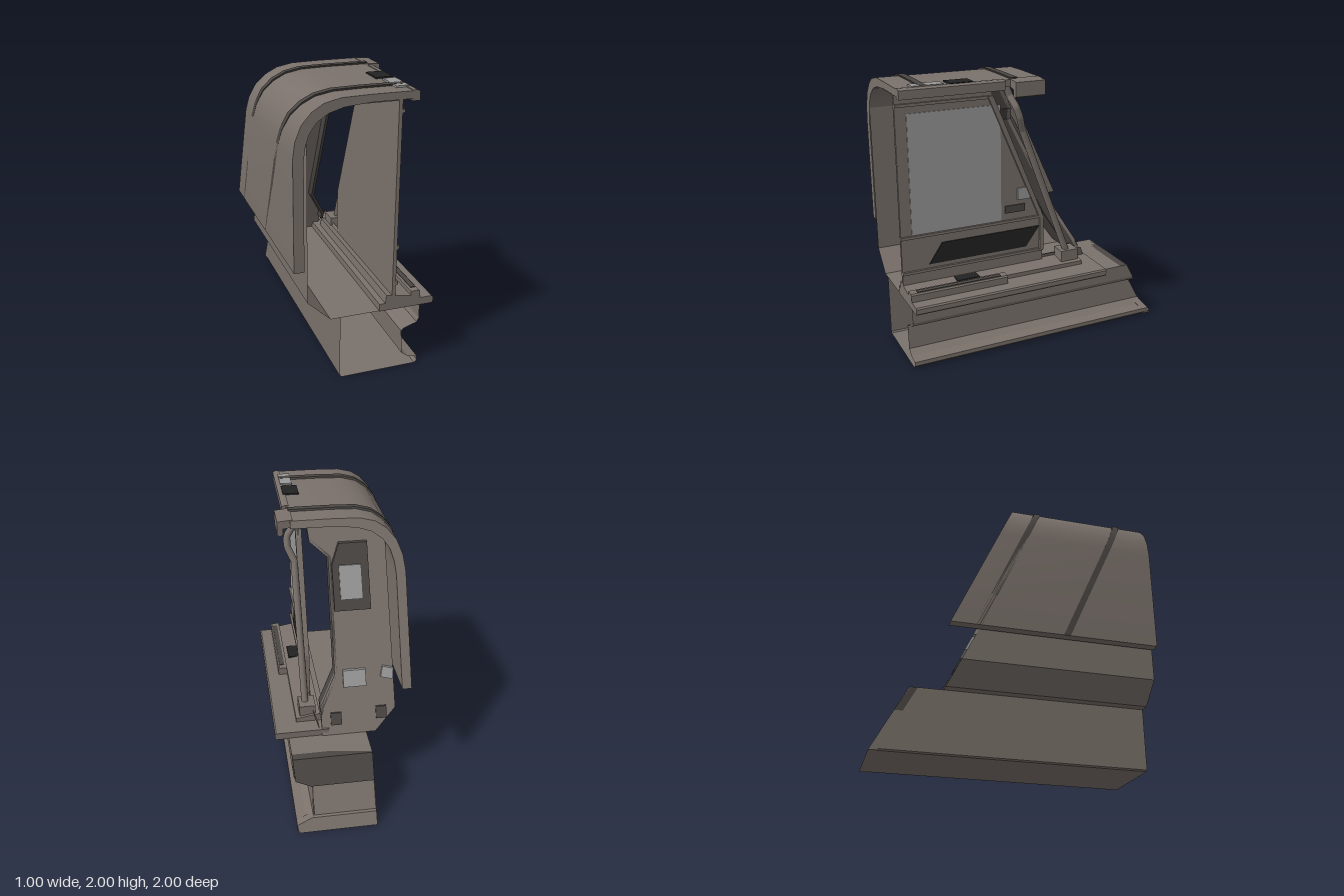
import * as THREE from 'three';
import { toCreasedNormals } from 'three/addons/utils/BufferGeometryUtils.js';

const mat = (color) => new THREE.MeshStandardMaterial({ color, side: THREE.DoubleSide });
const body = mat(0x7a716b), dark = mat(0x4a4643), black = mat(0x222222), glass = mat(0x999999);

// Rear slopes: z as a function of height
const baseBack = (y) => -1 + y * 0.53;
const cabBack = (y) => -0.51 + (y - 0.47) * 0.496;
const roofBack = (y) => -0.03 + (y - 1.98) * 0.451;
const plus = (f, d) => (y) => f(y) + d;
const flat = (z) => () => z;

const shapeOf = (pts) => new THREE.Shape(pts.map(([x, y]) => new THREE.Vector2(x, y)));
const rect = (x0, y0, x1, y1) => [[x0, y0], [x1, y0], [x1, y1], [x0, y1]];

export function createModel() {
  const root = new THREE.Group();
  const add = (name, geo, m = body) => {
    const mesh = new THREE.Mesh(geo, m);
    mesh.name = name;
    root.add(mesh);
    return mesh;
  };

  // Solid x,y outline running in z between two height-dependent ends
  function slanted(name, pts, back, front, m) {
    const g = new THREE.ExtrudeGeometry(shapeOf(pts), { depth: 1, bevelEnabled: false });
    const p = g.attributes.position;
    for (let i = 0; i < p.count; i++) {
      const y = p.getY(i);
      p.setZ(i, p.getZ(i) < 0.5 ? back(y) : front(y));
    }
    return add(name, toCreasedNormals(g, 0.6), m);
  }

  // Thin open-ended skin along an x,y line, from a sloped rear to z = 1
  function skin(name, pts, back, m) {
    const v = [];
    for (let i = 0; i < pts.length - 1; i++) {
      const [ax, ay] = pts[i], [bx, by] = pts[i + 1];
      const a = [ax, ay, back(ay)], b = [bx, by, back(by)], c = [bx, by, 1], d = [ax, ay, 1];
      v.push(...a, ...b, ...c, ...a, ...c, ...d);
    }
    const g = new THREE.BufferGeometry();
    g.setAttribute('position', new THREE.Float32BufferAttribute(v, 3));
    g.computeVertexNormals();
    return add(name, g, m);
  }

  // Flat z,y outline with its outer face at x
  function plate(name, pts, x, depth, m) {
    const g = new THREE.ExtrudeGeometry(shapeOf(pts), { depth, bevelEnabled: false });
    g.rotateY(-Math.PI / 2).translate(x, 0, 0);
    return add(name, g, m);
  }

  const box = (name, x0, x1, y0, y1, z0, z1, m) => add(name,
    new THREE.BoxGeometry(x1 - x0, y1 - y0, z1 - z0)
      .translate((x0 + x1) / 2, (y0 + y1) / 2, (z0 + z1) / 2), m);

  // Grooved hollow base beam
  const beam = [[-0.17, 0], [0.38, 0], [0.4, 0.02], [0.4, 0.05], [0.33, 0.065], [0.28, 0.1],
    [0.27, 0.28], [0.29, 0.3], [0.385, 0.33], [0.4, 0.36], [0.4, 0.47], [-0.18, 0.47], [-0.18, 0.01], [-0.17, 0]];
  skin('baseBeam', beam, baseBack);
  slanted('baseEndLower', [[-0.18, 0], [0.39, 0], [0.4, 0.05], [0.29, 0.09], [-0.18, 0.09]], baseBack, plus(baseBack, 0.06));
  slanted('baseEndRecess', rect(-0.18, 0.08, 0.27, 0.3), plus(baseBack, 0.025), plus(baseBack, 0.06));
  slanted('baseEndUpper', [[-0.18, 0.29], [0.28, 0.29], [0.39, 0.33], [0.4, 0.47], [-0.18, 0.47]],
    baseBack, plus(baseBack, 0.06), dark);

  // Side shelf, step and rail
  slanted('shelf', [[0.1, 0.465], [0.49, 0.465], [0.5, 0.475], [0.5, 0.51], [0.49, 0.52], [0.1, 0.52]], flat(-0.5), flat(1));
  slanted('step', [[0.14, 0.5], [0.33, 0.5], [0.33, 0.55], [0.15, 0.58]], flat(-0.38), flat(1));
  slanted('shelfRail', [[0.33, 0.5], [0.4, 0.5], [0.4, 0.57], [0.39, 0.58], [0.33, 0.58]], flat(0.27), flat(1));
  box('railInset', 0.35, 0.385, 0.575, 0.585, 0.32, 0.95, dark);
  box('shelfBlock', 0.22, 0.3, 0.53, 0.57, 0.45, 0.62, black);

  // Hollow cab: outer skin and sloped rear wall
  skin('cabSkin', [[0.2, 0.6], [0.15, 0.47], [-0.25, 0.47], [-0.41, 0.62], [-0.41, 1.78],
    [-0.38, 1.84], [-0.3, 1.93], [0.22, 1.93]], cabBack);
  slanted('cabRearWall', [[-0.25, 0.47], [0.15, 0.47], [0.15, 0.66], [0.03, 0.87], [0.02, 1.64],
    [0.15, 1.75], [0.17, 1.93], [-0.3, 1.93], [-0.38, 1.84], [-0.41, 1.78], [-0.41, 0.62]],
  cabBack, plus(cabBack, 0.03));
  // Rear opening return, running forward beside the gap
  slanted('rearOpeningFrame', [[0.13, 0.6], [0.15, 0.6], [0.15, 0.66], [0.03, 0.87], [0.02, 1.64], [0.15, 1.75],
    [0.17, 1.93], [0.15, 1.93], [0.13, 1.76], [0, 1.65], [0.01, 0.86], [0.13, 0.65]],
  cabBack, plus(cabBack, 0.11), dark);
  slanted('rearPanel', [[-0.27, 1.3], [0, 1.3], [0, 1.6], [-0.06, 1.74], [-0.27, 1.74]],
    plus(cabBack, -0.03), cabBack, dark);
  slanted('rearPanelWindow', rect(-0.21, 1.38, -0.05, 1.6), plus(cabBack, -0.04), cabBack, glass);
  slanted('innerConsole', [[-0.27, 0.5], [-0.04, 0.5], [-0.04, 0.78], [-0.4, 0.78], [-0.4, 0.63]],
    plus(cabBack, 0.03), plus(cabBack, 0.05), dark);
  slanted('rearLampRight', [[-0.4, 0.82], [-0.31, 0.84], [-0.33, 0.91], [-0.41, 0.89]],
    plus(cabBack, -0.02), plus(cabBack, 0.05), glass);
  slanted('rearLampLeft', rect(-0.2, 0.79, -0.03, 0.9), plus(cabBack, -0.02), plus(cabBack, 0.05), glass);
  for (const [x, y] of [[-0.3, 0.6], [0.04, 0.58]])
    slanted('rearMarker', rect(x - 0.04, y - 0.04, x + 0.04, y + 0.04), plus(cabBack, -0.012), cabBack, dark);

  // Side wall with window, frame and vent
  plate('sideWall', [[1, 0.57], [-0.1, 0.57], [-0.1, 0.92], [0.3, 1.87], [0.3, 1.94], [1, 1.94]], 0.215, 0.025);
  plate('sideWindow', [[0.92, 0.94], [0.24, 0.94], [0.24, 1.8], [0.92, 1.8]], 0.22, 0.01, glass);
  plate('rearFrame', [[-0.07, 0.66], [-0.1, 0.66], [-0.1, 0.92], [0.3, 1.87], [0.34, 1.87], [-0.07, 0.91]], 0.235, 0.04);
  for (const [y, z] of [[0.66, -0.1], [0.925, -0.09], [1.86, 0.31]])
    box('wallTrim', 0.2, 0.232, y - 0.01, y + 0.01, z, 1);
  plate('vent', [[0.8, 0.7], [0.04, 0.7], [-0.07, 0.85], [0.7, 0.85]], 0.222, 0.01, black);
  box('wallPlateLight', 0.21, 0.225, 1.08, 1.17, 0.01, 0.11, glass);
  box('wallPlateDark', 0.21, 0.225, 0.99, 1.045, 0.05, 0.21, dark);

  // Bent rear grab pole with its foot
  const path = new THREE.CurvePath();
  const nodes = [[0.25, 0.58], [0.265, 1.62], [0.31, 1.72], [0.31, 1.79], [0.26, 1.86], [0.26, 1.95]]
    .map(([x, y]) => new THREE.Vector3(x, y, -0.3 + (y - 0.58) * 0.38));
  for (let i = 0; i < nodes.length - 1; i++) path.add(new THREE.LineCurve3(nodes[i], nodes[i + 1]));
  add('grabPole', new THREE.TubeGeometry(path, 60, 0.026, 8));
  box('poleFoot', 0.18, 0.3, 0.55, 0.64, -0.36, -0.22);

  // Curved roof shell, overhanging the rear and right side
  const outer = [[-0.5, 0.85], [-0.5, 1.62], [-0.485, 1.73], [-0.445, 1.83], [-0.38, 1.905],
    [-0.3, 1.955], [-0.19, 1.98], [0, 1.985], [0.3, 1.985]];
  const inner = [[0.3, 1.935], [0, 1.935], [-0.17, 1.92], [-0.27, 1.89], [-0.345, 1.84],
    [-0.395, 1.77], [-0.42, 1.69], [-0.43, 1.6], [-0.43, 0.85]];
  slanted('roofShell', [...outer, ...inner], roofBack, flat(1));
  // Raised ribs parallel to the rear edge
  const ribOuter = outer.map(([x, y], i) => [i < 2 ? x : x - 0.002, i < 3 ? y : y + 0.013]);
  ribOuter.forEach((p) => { p[0] = Math.max(p[0], -0.5); });
  const ribShape = [...ribOuter, ...inner.map(([x, y]) => [x - 0.02, y + 0.02])];
  for (const z of [0.17, 0.82])
    slanted('roofRib', ribShape, plus(roofBack, z), plus(roofBack, z + 0.05), dark);

  // Roof eave, drip lip, gutter and small roof boxes
  slanted('rearEave', [[0.28, 1.935], [0.35, 1.925], [0.35, 1.88], [0.37, 1.87], [0.39, 1.88], [0.39, 1.98], [0.28, 1.99]],
    flat(-0.02), flat(0.2));
  slanted('gutter', [[0.28, 1.92], [0.33, 1.92], [0.33, 1.98], [0.31, 1.99], [0.28, 1.99]], flat(0.25), flat(1));
  box('roofHatch', 0.18, 0.3, 1.96, 1.995, 0.47, 0.64, black);
  box('roofPlate', 0.21, 0.3, 1.96, 1.997, 0.68, 0.9, glass);
  box('shellPlate', -0.499, -0.48, 1.02, 1.14, 0.55, 0.66, black);

  return root;
}
